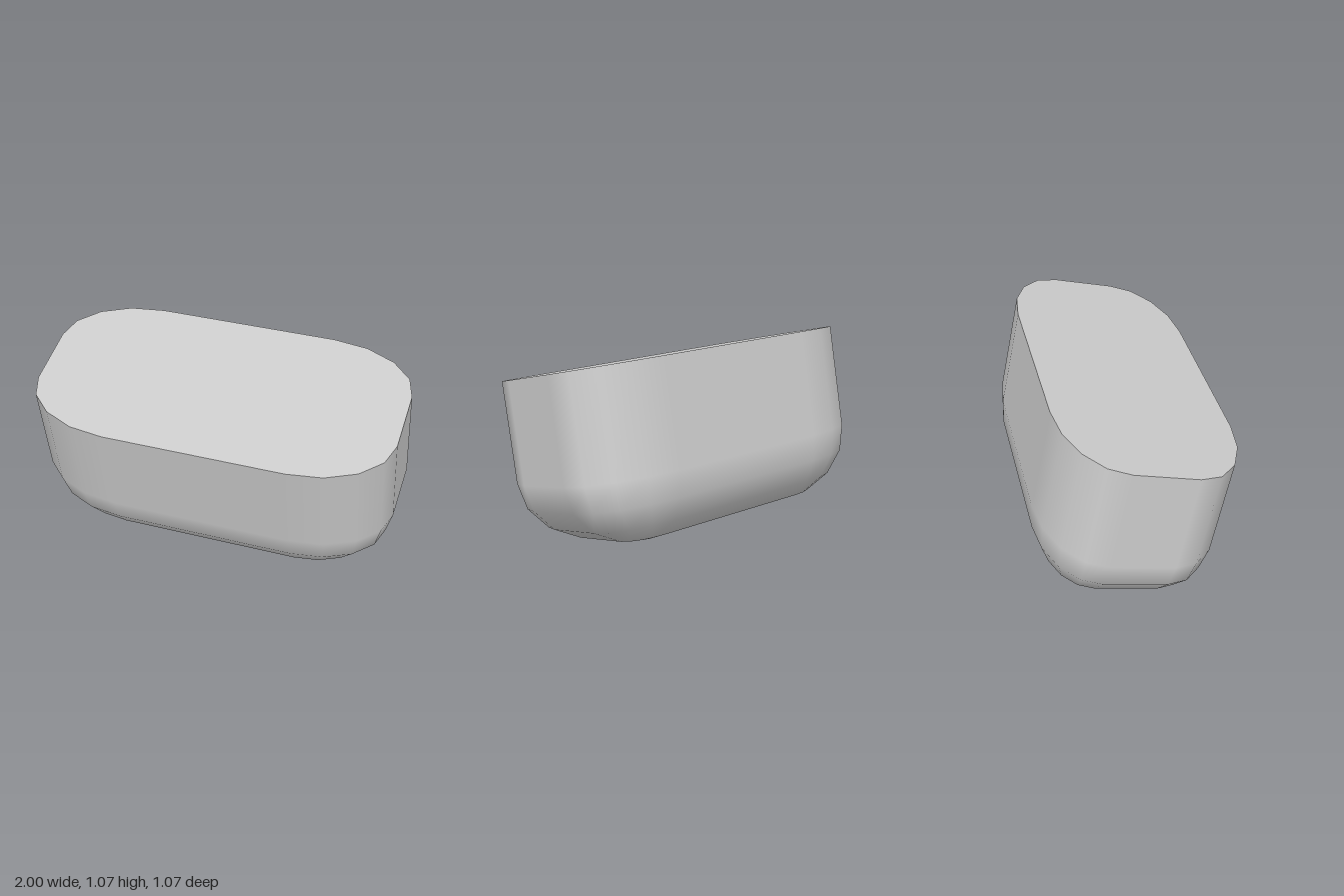
import * as THREE from 'three';

const SEG = 4;                       // segments per rounded corner
const R = { x: 0.5, y: 0.374, z: 0.316 };   // corner radii
const FLAT = { x: 0.5, z: 0.173 };   // half size of the flat areas
const BOTTOM = 0.013, MID_Z = -0.126;
const TILT = Math.atan(0.2);

// sloping top cut: the back rim is a little higher than the front
const rimHeight = (z) => 0.946 - 0.045 * (z - MID_Z);

// rounded rectangle ring; s scales the corners, heightAt gives y
function ring(s, heightAt) {
  const points = [];
  for (let c = 0; c < 4; c++) {
    const sx = c === 0 || c === 3 ? 1 : -1, sz = c < 2 ? 1 : -1;
    for (let k = 0; k <= SEG; k++) {
      const a = (c + k / SEG) * Math.PI / 2;
      const z = MID_Z + sz * FLAT.z + R.z * s * Math.sin(a);
      points.push({ a, p: new THREE.Vector3(sx * FLAT.x + R.x * s * Math.cos(a), heightAt(z), z) });
    }
  }
  return points;
}

function buildGeometry(positions, normals, index) {
  const g = new THREE.BufferGeometry();
  g.setAttribute('position', new THREE.Float32BufferAttribute(positions, 3));
  g.setIndex(index);
  if (normals) g.setAttribute('normal', new THREE.Float32BufferAttribute(normals, 3));
  else g.computeVertexNormals();
  return g;
}

export function createModel() {
  const material = new THREE.MeshStandardMaterial({ color: 0xcccccc });
  const group = new THREE.Group();
  group.name = 'roundedTub';

  // rings from the flat underside, round the lower edge, up to the rim
  const rings = [];
  for (let r = 0; r <= SEG; r++) {
    const t = r / SEG * Math.PI / 2;
    rings.push({ t, points: ring(Math.sin(t), () => BOTTOM + R.y * (1 - Math.cos(t))) });
  }
  const rim = ring(1, rimHeight);
  rings.push({ t: Math.PI / 2, points: rim });

  const positions = [], normals = [], index = [];
  const n = rim.length;
  for (const { t, points } of rings) {
    for (const { a, p } of points) {
      positions.push(p.x, p.y, p.z);
      const normal = new THREE.Vector3(
        Math.cos(a) * Math.sin(t) / R.x, -Math.cos(t) / R.y, Math.sin(a) * Math.sin(t) / R.z);
      normals.push(...normal.normalize().toArray());
    }
  }
  for (let r = 0; r < rings.length - 1; r++) {
    for (let i = 0; i < n; i++) {
      const a = r * n + i, b = r * n + (i + 1) % n;
      // lowest ring is a plain rectangle, so its corner points coincide
      if (r > 0 || i % (SEG + 1) === SEG) index.push(a, a + n, b);
      index.push(b, a + n, b + n);
    }
  }
  // flat underside
  const q = SEG + 1;
  index.push(0, q, 2 * q, 0, 2 * q, 3 * q);
  const body = new THREE.Mesh(buildGeometry(positions, normals, index), material);
  body.name = 'body';

  // flat top face
  const topIndex = [];
  for (let i = 1; i < n - 1; i++) topIndex.push(0, i + 1, i);
  const top = new THREE.Mesh(
    buildGeometry(rim.flatMap(({ p }) => p.toArray()), null, topIndex), material);
  top.name = 'topFace';

  // the whole body leans forward
  const leaning = new THREE.Group();
  leaning.name = 'leaningBody';
  leaning.rotation.x = TILT;
  leaning.add(body, top);
  group.add(leaning);
  return group;
}
